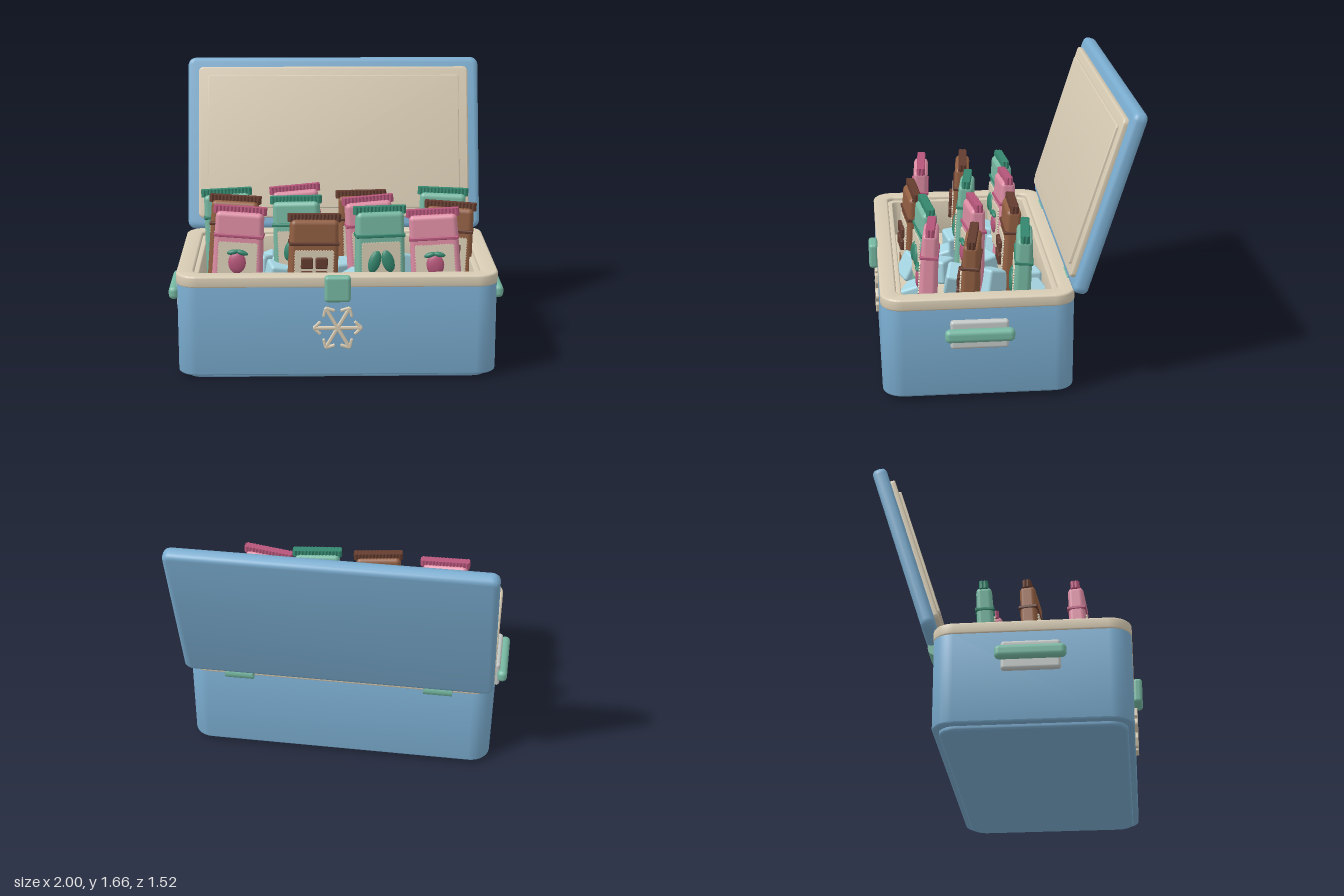
import * as THREE from 'three';
import { toCreasedNormals } from 'three/addons/utils/BufferGeometryUtils.js';
import { RoundedBoxGeometry } from 'three/addons/geometries/RoundedBoxGeometry.js';

const mat = (name, color) => {
  const m = new THREE.MeshStandardMaterial({ color });
  m.name = name;
  return m;
};
const blue = mat('cooler blue', 0x7aaccf);
const cream = mat('cream', 0xd8ccb4);
const grey = mat('handle grey', 0xc3c9c6);
const ice = mat('ice', 0xa5d5e2);
const mint = mat('mint green', 0x76b8a2);
const darkMint = mat('dark green', 0x35876f);
const pink = mat('pink', 0xdc8ca3);
const darkPink = mat('dark pink', 0xb6567a);
const brown = mat('brown', 0x925f42);
const darkBrown = mat('dark brown', 0x643c2f);

const CZ = 0.165; // middle of the cooler in depth

function add(parent, name, geometry, material, x = 0, y = 0, z = 0) {
  const mesh = new THREE.Mesh(geometry, material);
  mesh.name = name;
  mesh.position.set(x, y, z);
  parent.add(mesh);
  return mesh;
}
const rbox = (w, h, d, r) => new RoundedBoxGeometry(w, h, d, 3, r);

// Rounded rectangle outline
function roundRect(Type, w, h, r) {
  const s = new Type(), a = w / 2, b = h / 2;
  s.absarc(a - r, b - r, r, 0, Math.PI / 2);
  s.absarc(-a + r, b - r, r, Math.PI / 2, Math.PI);
  s.absarc(-a + r, -b + r, r, Math.PI, Math.PI * 1.5);
  s.absarc(a - r, -b + r, r, Math.PI * 1.5, Math.PI * 2);
  s.closePath();
  return s;
}

// Rounded slab from z = 0 to z = depth, optionally with a hole
function slab(w, h, r, depth, bevel, hole) {
  const s = roundRect(THREE.Shape, w - 2 * bevel, h - 2 * bevel, r - bevel);
  if (hole) s.holes.push(roundRect(THREE.Path, hole[0] + 2 * bevel, hole[1] + 2 * bevel, hole[2] + bevel));
  const g = new THREE.ExtrudeGeometry(s, {
    depth: depth - 2 * bevel, bevelEnabled: bevel > 0, bevelSize: bevel,
    bevelThickness: bevel, bevelSegments: 3, curveSegments: 8,
  });
  g.translate(0, 0, bevel);
  return toCreasedNormals(g, 0.7);
}
const flatSlab = (...args) => slab(...args).rotateX(-Math.PI / 2);

// Rectangle with toothed edges
function toothed(w, h, nx, ny, t) {
  const pts = [];
  const side = (x0, y0, x1, y1, n) => {
    const len = Math.hypot(x1 - x0, y1 - y0), ox = (y1 - y0) / len, oy = -(x1 - x0) / len;
    for (let i = 0; i < n * 2; i++) {
      const f = i / (n * 2), o = i % 2 ? t : 0;
      pts.push(new THREE.Vector2(x0 + (x1 - x0) * f + ox * o, y0 + (y1 - y0) * f + oy * o));
    }
  };
  const a = w / 2, b = h / 2;
  side(-a, -b, a, -b, nx);
  side(a, -b, a, b, ny);
  side(a, b, -a, b, nx);
  side(-a, b, -a, -b, ny);
  return new THREE.Shape(pts);
}

// Wrapper body: rounded box that narrows towards its shoulders
function wrapperGeometry() {
  const g = rbox(0.3, 0.54, 0.105, 0.03), p = g.attributes.position;
  for (let i = 0; i < p.count; i++) {
    const k = THREE.MathUtils.clamp((p.getY(i) + 0.1) / 0.37, 0, 1);
    p.setX(i, p.getX(i) * (1 - 0.07 * k));
    p.setZ(i, p.getZ(i) * (1 - 0.15 * k));
  }
  return g;
}
const bodyGeo = wrapperGeometry();
const capGeo = new THREE.ExtrudeGeometry(toothed(0.3, 0.04, 14, 2, 0.006), { depth: 0.045, bevelEnabled: false }).rotateX(-Math.PI / 2);
const labelGeo = new THREE.ExtrudeGeometry(toothed(0.22, 0.25, 14, 15, 0.007), { depth: 0.008, bevelEnabled: false });
const dome = new THREE.SphereGeometry(1, 16, 10);

// Flavour pictures on the labels
const icons = {
  berry(g) {
    add(g, 'berry', dome, darkPink, 0, -0.005, 0).scale.set(0.052, 0.065, 0.022);
    for (const s of [-1, 1]) {
      const leaf = add(g, 'berryLeaf', dome, darkMint, s * 0.027, 0.058, 0.008);
      leaf.scale.set(0.036, 0.015, 0.016);
      leaf.rotation.z = -s * 0.25;
    }
  },
  squares(g) {
    for (const x of [-0.043, 0.043]) for (const y of [-0.04, 0.04])
      add(g, 'chocolateSquare', rbox(0.07, 0.065, 0.03, 0.008), darkBrown, x, y, 0.005);
  },
  leaves(g) {
    for (const s of [-1, 1]) {
      const leaf = add(g, 'mintLeaf', dome, darkMint, s * 0.04, 0, 0);
      leaf.scale.set(0.036, 0.068, 0.02);
      leaf.rotation.z = s * 0.3;
    }
  },
};
const flavours = {
  p: [pink, darkPink, icons.berry],
  b: [brown, darkBrown, icons.squares],
  g: [mint, darkMint, icons.leaves],
};

// Wrapped bar; its origin is the middle of the top edge
function makeBar(flavour) {
  const [main, trim, icon] = flavours[flavour];
  const g = new THREE.Group();
  g.name = 'wrappedBar';
  add(g, 'wrapper', bodyGeo, main, 0, -0.3, 0);
  add(g, 'crimpedTop', capGeo, trim, 0, -0.045, 0);
  add(g, 'wrapperBand', rbox(0.292, 0.02, 0.108, 0.006), trim, 0, -0.17, 0);
  add(g, 'label', labelGeo, cream, 0, -0.335, 0.049);
  const pic = new THREE.Group();
  pic.name = 'labelPicture';
  pic.position.set(0, -0.32, 0.057);
  icon(pic);
  g.add(pic);
  return g;
}

export function createModel() {
  const model = new THREE.Group();
  model.name = 'cooler';

  // Box
  add(model, 'base', flatSlab(1.76, 1.03, 0.1, 0.06, 0.015), blue, 0, 0, CZ);
  add(model, 'body', flatSlab(1.85, 1.1, 0.12, 0.54, 0.01, [1.66, 0.92, 0.05]), blue, 0, 0.025, CZ - 0.001);
  add(model, 'rim', flatSlab(1.86, 1.106, 0.125, 0.07, 0.012, [1.66, 0.92, 0.05]), cream, 0, 0.552, CZ - 0.001);
  add(model, 'liner', flatSlab(1.665, 0.925, 0.05, 0.25, 0.006, [1.6, 0.86, 0.04]), cream, 0, 0.35, CZ);
  add(model, 'floor', flatSlab(1.64, 0.9, 0.04, 0.04, 0), cream, 0, 0.33, CZ);

  // Open lid
  const lid = new THREE.Group();
  lid.name = 'lid';
  lid.position.set(0, 1.135, -0.563);
  lid.rotation.x = -0.302;
  add(lid, 'lidShell', slab(1.86, 1.1, 0.05, 0.085, 0.03), blue, 0, 0, -0.0425);
  add(lid, 'lidLiner', slab(1.72, 0.965, 0.03, 0.04, 0.01), cream, 0, 0, 0.032);
  add(lid, 'lidPanel', slab(1.6, 0.85, 0.015, 0.03, 0.005), cream, 0, 0, 0.057);
  model.add(lid);

  // Latch and hinges
  add(model, 'latch', rbox(0.15, 0.155, 0.055, 0.02), mint, 0, 0.555, 0.738);
  for (const s of [-1, 1]) {
    const hinge = new THREE.CylinderGeometry(0.045, 0.045, 0.17, 20).rotateZ(Math.PI / 2);
    add(model, 'hinge', hinge, mint, s * 0.6, 0.59, -0.395);
    // Side handles
    add(model, 'handlePlate', rbox(0.05, 0.17, 0.33, 0.018), grey, s * 0.93, 0.405, CZ);
    add(model, 'handleGrip', rbox(0.06, 0.078, 0.395, 0.028), mint, s * 0.97, 0.412, CZ);
  }

  // Snowflake badge
  const flake = new THREE.Group();
  flake.name = 'snowflake';
  flake.position.set(0, 0.315, 0.722);
  for (let i = 0; i < 6; i++) {
    const arm = new THREE.Group();
    arm.name = 'snowflakeArm';
    arm.rotation.z = i * Math.PI / 3;
    add(arm, 'spoke', rbox(0.145, 0.02, 0.022, 0.006), cream, 0.07, 0, 0);
    for (const s of [-1, 1])
      add(arm, 'barb', rbox(0.055, 0.016, 0.02, 0.005), cream, 0.118, s * 0.019, 0).rotation.z = -s * 0.75;
    flake.add(arm);
  }
  model.add(flake);

  // Wrapped bars: flavour, x, top y, z, turn, lean
  const bars = [
    ['g', -0.67, 0.94, -0.12, 0.06, 0.04], ['p', -0.25, 0.965, -0.1, 0.06, 0.08],
    ['b', 0.16, 0.93, -0.1, 0, 0.02], ['g', 0.67, 0.94, -0.12, -0.1, -0.03],
    ['b', -0.6, 0.96, 0.14, -0.08, -0.05], ['g', -0.24, 0.955, 0.14, -0.13, 0.04],
    ['p', 0.19, 0.95, 0.13, 0.1, 0.07], ['b', 0.69, 0.925, 0.18, -0.15, -0.05],
    ['p', -0.56, 0.96, 0.41, -0.06, -0.06], ['b', -0.13, 0.93, 0.48, 0.1, -0.03],
    ['g', 0.25, 0.96, 0.42, 0.12, 0.01], ['p', 0.56, 0.94, 0.41, -0.1, 0.07],
  ];
  for (const [flavour, x, y, z, turn, lean] of bars) {
    const bar = makeBar(flavour);
    bar.position.set(x, y, z);
    bar.rotation.set(-0.05, turn, lean);
    model.add(bar);
  }

  // Ice cubes: x, z pairs
  const cubes = [
    [-0.42, -0.15], [-0.48, 0.03], [-0.31, -0.08], [-0.13, 0.08], [0.03, 0.06], [-0.34, 0.2],
    [-0.15, 0.31], [-0.37, 0.48], [0.12, 0.34], [0.3, 0.05], [0.44, -0.18], [0.25, -0.19],
    [0.3, 0.24], [0.43, 0.48], [0.68, 0.4], [0.73, -0.16], [0.08, 0.49],
  ];
  cubes.forEach(([x, z], i) => {
    const size = 0.13 + 0.03 * Math.abs(Math.sin(i * 2.3));
    const cube = add(model, 'iceCube', rbox(size, size, size, 0.018), ice, x, 0.45 + 0.03 * Math.sin(i * 1.7), z);
    cube.rotation.set(Math.sin(i * 3.1) * 0.4, i * 1.3, Math.cos(i * 2.1) * 0.4);
  });

  return model;
}
